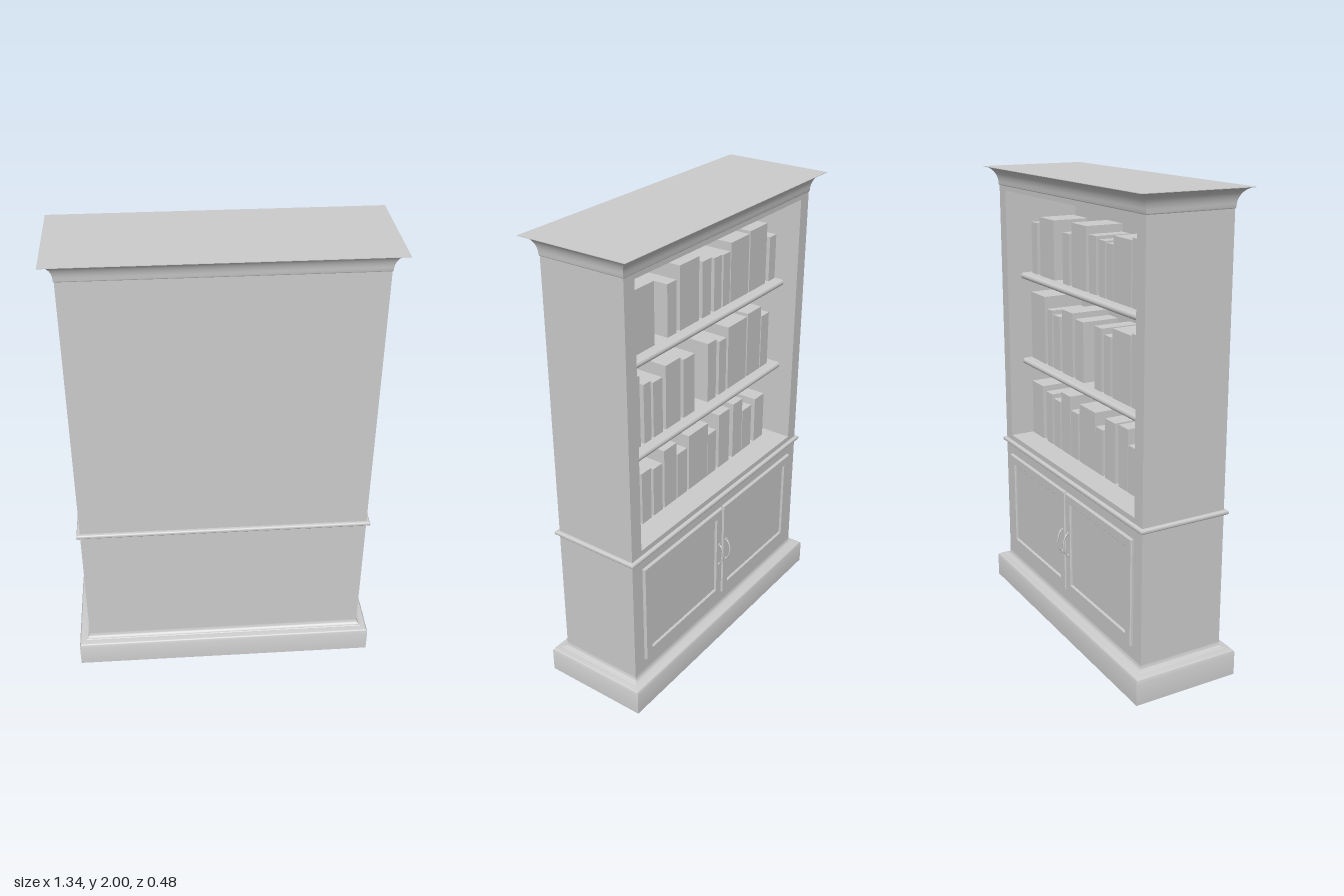
import * as THREE from 'three';
import { toCreasedNormals } from 'three/addons/utils/BufferGeometryUtils.js';

const HX = 0.62, HZ = 0.19;           // half width and half depth of the cabinet
const OPEN = { x: 0.56, y0: 0.76, y1: 1.9 };
const BACK = 0.16;                    // inner face of the back panel

const material = new THREE.MeshStandardMaterial({ color: 0xcccccc });

export function createModel() {
  const model = new THREE.Group();
  model.name = 'bookcase';

  const add = (name, geometry, parent = model) => {
    const mesh = new THREE.Mesh(geometry, material);
    mesh.name = name;
    parent.add(mesh);
    return mesh;
  };
  const box = (name, x0, x1, y0, y1, z0, z1, parent) =>
    add(name, new THREE.BoxGeometry(x1 - x0, y1 - y0, z1 - z0), parent)
      .position.set((x0 + x1) / 2, (y0 + y1) / 2, (z0 + z1) / 2);

  // Mitred moulding around the cabinet: profile of [outward offset, y], bottom to top
  const moulding = (name, profile) => {
    const pos = [], index = [], n = profile.length;
    for (const [o, y] of profile) {
      const x = HX + o, z = HZ + o;
      pos.push(-x, y, z, x, y, z, x, y, -z, -x, y, -z);
    }
    for (let i = 0; i < n - 1; i++) {
      for (let k = 0; k < 4; k++) {
        const a = i * 4 + k, b = i * 4 + (k + 1) % 4;
        index.push(a, b, b + 4, a, b + 4, a + 4);
      }
    }
    const t = (n - 1) * 4;
    index.push(0, 2, 1, 0, 3, 2, t, t + 1, t + 2, t, t + 2, t + 3);
    const g = new THREE.BufferGeometry();
    g.setAttribute('position', new THREE.Float32BufferAttribute(pos, 3));
    g.setIndex(index);
    return add(name, toCreasedNormals(g, 0.6));
  };
  const arc = (steps, fn) =>
    Array.from({ length: steps + 1 }, (_, i) => fn((i / steps) * Math.PI / 2));

  const rect = (Type, x0, x1, y0, y1) => {
    const p = new Type();
    p.moveTo(x0, y0); p.lineTo(x1, y0); p.lineTo(x1, y1); p.lineTo(x0, y1);
    p.closePath();
    return p;
  };

  // Carcase with the open shelf compartment, closed by a back panel
  const shell = rect(THREE.Shape, -HX, HX, 0.1, 1.95);
  shell.holes.push(rect(THREE.Path, -OPEN.x, OPEN.x, OPEN.y0, OPEN.y1));
  add('carcase', new THREE.ExtrudeGeometry(shell, { depth: BACK + HZ, bevelEnabled: false }))
    .position.z = -HZ;
  box('backPanel', -HX, HX, 0.1, 1.95, BACK, HZ);

  // Plinth, waist bead and crown
  moulding('plinth', [
    [0.047, 0],
    ...arc(6, t => [0.032 + 0.015 * Math.cos(t), 0.1 + 0.016 * Math.sin(t)]),
    [0.018, 0.118],
    ...arc(6, t => [0.016 * (1 - Math.sin(t)), 0.143 - 0.023 * Math.cos(t)]),
  ]);
  moulding('waistBead', [
    [0, 0.716],
    ...Array.from({ length: 9 }, (_, i) => {
      const t = (i / 8 - 0.5) * Math.PI;
      return [0.006 + 0.009 * Math.cos(t), 0.726 + 0.01 * Math.sin(t)];
    }),
    [0, 0.736],
  ]);
  moulding('crown', [
    [0, 1.92], [0.003, 1.925],
    ...arc(10, t => [0.003 + 0.049 * (1 - Math.cos(t)), 1.928 + 0.07 * Math.sin(t)]),
    [0.052, 2],
  ]);

  // Shelves with rounded front edges
  const shelfTops = [1.13, 1.53];
  for (const top of shelfTops) {
    const shelf = new THREE.Group();
    shelf.name = 'shelf';
    model.add(shelf);
    box('shelfBoard', -OPEN.x, OPEN.x, top - 0.028, top, -0.11, BACK, shelf);
    const nose = add('shelfNose', new THREE.CylinderGeometry(0.014, 0.014, 2 * OPEN.x, 16), shelf);
    nose.rotation.z = Math.PI / 2;
    nose.position.set(0, top - 0.014, -0.11);
  }

  // Books: [x of left edge, thickness, height] on each level
  const rows = [
    [OPEN.y0, [[0.555, 0.11, 0.255], [0.41, 0.06, 0.24], [0.334, 0.06, 0.225], [0.26, 0.084, 0.275],
      [0.17, 0.068, 0.215], [0.087, 0.14, 0.265], [-0.056, 0.06, 0.205], [-0.138, 0.082, 0.265],
      [-0.25, 0.073, 0.27], [-0.327, 0.073, 0.205], [-0.43, 0.075, 0.22]]],
    [shelfTops[0], [[0.55, 0.14, 0.31], [0.386, 0.045, 0.26], [0.326, 0.06, 0.245], [0.244, 0.098, 0.285],
      [0.124, 0.075, 0.265], [-0.048, 0.06, 0.27], [-0.13, 0.053, 0.25], [-0.198, 0.142, 0.29],
      [-0.348, 0.105, 0.3], [-0.46, 0.06, 0.25]]],
    [shelfTops[1], [[0.53, 0.054, 0.23], [0.446, 0.135, 0.26], [0.229, 0.059, 0.22], [0.147, 0.127, 0.27],
      [-0.003, 0.06, 0.24], [-0.086, 0.052, 0.23], [-0.15, 0.05, 0.225], [-0.206, 0.134, 0.26],
      [-0.348, 0.13, 0.27], [-0.505, 0.05, 0.2]]],
  ];
  for (const [y, books] of rows) {
    const row = new THREE.Group();
    row.name = 'bookRow';
    model.add(row);
    for (const [x, w, h] of books) {
      box('book', x - w, x, y, y + h, -0.08, -0.08 + 0.45 * h + 0.05, row);
    }
  }

  // Pair of framed doors with bow handles
  const handlePath = new THREE.CatmullRomCurve3([
    [0.38, -0.196], [0.388, -0.212], [0.41, -0.222], [0.433, -0.225],
    [0.456, -0.222], [0.478, -0.212], [0.486, -0.196],
  ].map(([y, z]) => new THREE.Vector3(0, y, z)));
  for (const side of [1, -1]) {
    const door = new THREE.Group();
    door.name = side > 0 ? 'leftDoor' : 'rightDoor';
    model.add(door);
    const c = side * 0.281, w = 0.277, y0 = 0.2, y1 = 0.668, m = 0.045;
    const frame = rect(THREE.Shape, c - w, c + w, y0, y1);
    frame.holes.push(rect(THREE.Path, c - w + m, c + w - m, y0 + m, y1 - m));
    add('doorFrame', new THREE.ExtrudeGeometry(frame, {
      depth: 0.01, bevelEnabled: true, bevelSize: 0.004, bevelOffset: -0.004,
      bevelThickness: 0.004, bevelSegments: 1,
    }), door).position.z = -0.199;
    box('doorPanel', c - w + m, c + w - m, y0 + m, y1 - m, -0.193, -0.18, door);
    add('handle', new THREE.TubeGeometry(handlePath, 24, 0.004, 8), door).position.x = side * 0.027;
    for (const y of [0.381, 0.485]) {
      const foot = add('handleFoot', new THREE.CylinderGeometry(0.007, 0.007, 0.006, 12), door);
      foot.rotation.x = Math.PI / 2;
      foot.position.set(side * 0.027, y, -0.205);
    }
  }

  return model;
}
